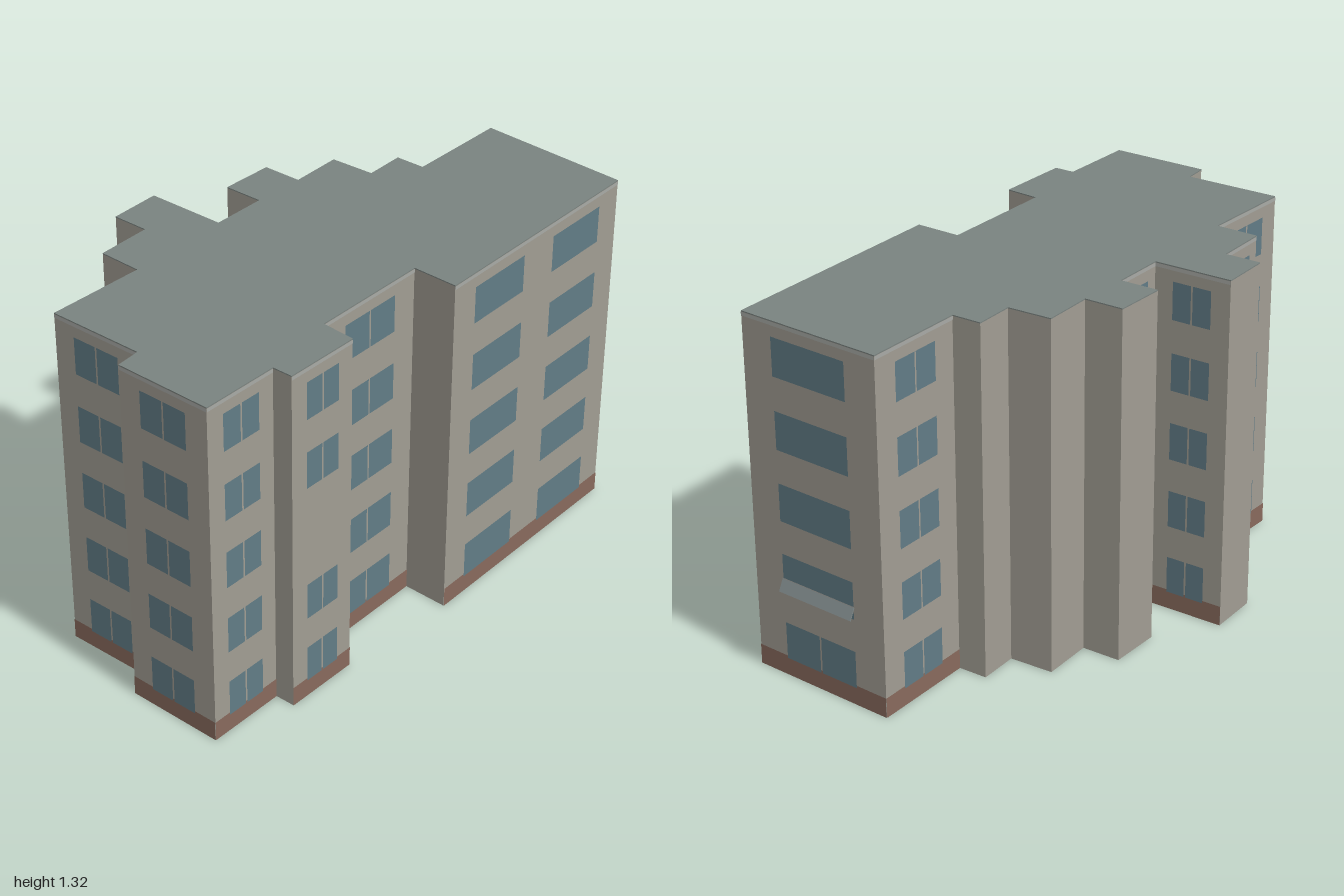
import * as THREE from 'three';

const H = 1.315, PLINTH = 0.075, ROOF = 0.004;
const mat = (color, side = THREE.FrontSide) => new THREE.MeshStandardMaterial({ color, side });

// Footprint corners (x, z), starting at the back left of the plan
const plan = [
  [-0.905, -0.31], [-0.54, -0.29], [-0.535, -0.45], [-0.33, -0.45], [-0.33, -0.585],
  [-0.14, -0.585], [-0.14, -0.29], [0.065, -0.285], [0.065, -0.43], [0.26, -0.42],
  [0.26, -0.275], [0.455, -0.275], [0.46, -0.11], [0.61, -0.11], [0.61, 0],
  [1, 0.01], [0.965, 0.58], [0.04, 0.57], [0.045, 0.4], [-0.41, 0.39],
  [-0.42, 0.515], [-0.705, 0.505], [-0.705, 0.43], [-1, 0.42], [-0.995, 0.055], [-0.905, 0.05],
];

// Walls with windows: starting corner, window centres from the wall middle, width, panes
const facades = [
  { name: 'backLeftWall', at: 0, centres: [0], w: 0.2, panes: 2 },
  { name: 'backBayWall', at: 2, centres: [0], w: 0.11, panes: 2, skip: 2 },
  { name: 'backBayReturn', at: 5, centres: [0], w: 0.15, panes: 2 },
  { name: 'backRecessWall', at: 6, centres: [0], w: 0.11, panes: 2 },
  { name: 'backRightWall', at: 14, centres: [0], w: 0.2, panes: 2 },
  { name: 'entranceWall', at: 15, centres: [0], w: 0.315, panes: 1, entrance: true },
  { name: 'frontMainWall', at: 16, centres: [-0.218, 0.217], w: 0.27, panes: 1 },
  { name: 'frontRecessWall', at: 18, centres: [0], w: 0.25, panes: 2 },
  { name: 'frontBayWall', at: 20, centres: [0], w: 0.15, panes: 2, skip: 2 },
  { name: 'frontEndWall', at: 22, centres: [0], w: 0.16, panes: 2 },
  { name: 'sideFrontWall', at: 23, centres: [0], w: 0.19, panes: 2 },
  { name: 'sideBackWall', at: 25, centres: [0], w: 0.19, panes: 2 },
];

export function createModel() {
  const model = new THREE.Group();
  model.name = 'apartmentBlock';
  const wallMat = mat(0xa19d93), roofMat = mat(0x7a8380), glassMat = mat(0x627c86);
  const brickMat = mat(0x886a5d), trimMat = mat(0xa8aaa6);
  const canopyMat = mat(0x7f898a, THREE.DoubleSide);

  // Body and roof share one footprint
  const shape = new THREE.Shape(plan.map(([x, z]) => new THREE.Vector2(x, -z)));
  const slab = (name, y, depth, material) => {
    const geo = new THREE.ExtrudeGeometry(shape, { depth, bevelEnabled: false });
    const mesh = new THREE.Mesh(geo.rotateX(-Math.PI / 2), material);
    mesh.position.y = y;
    mesh.name = name;
    model.add(mesh);
  };
  slab('walls', 0, H - ROOF, wallMat);
  slab('roof', H - ROOF, ROOF, roofMat);

  // Flat panel lying just in front of a wall
  const panel = (group, name, x, y0, y1, w, out, material) => {
    const mesh = new THREE.Mesh(new THREE.PlaneGeometry(w, y1 - y0), material);
    mesh.position.set(x, (y0 + y1) / 2, out);
    mesh.name = name;
    group.add(mesh);
  };

  for (const f of facades) {
    const [x0, z0] = plan[f.at], [x1, z1] = plan[(f.at + 1) % plan.length];
    const length = Math.hypot(x1 - x0, z1 - z0);
    const wall = new THREE.Group();
    wall.name = f.name;
    wall.position.set((x0 + x1) / 2, 0, (z0 + z1) / 2);
    wall.rotation.y = Math.atan2(z1 - z0, x0 - x1);
    model.add(wall);

    panel(wall, 'plinth', 0, 0, PLINTH, length, 0.0015, brickMat);
    panel(wall, 'coping', 0, H - 0.017, H - ROOF, length, 0.0015, trimMat);

    // Five storeys of windows
    for (let floor = 0; floor < 5; floor++) {
      if (floor === f.skip) continue;
      const y = 0.067 + floor * 0.263;
      const panes = f.entrance && floor === 0 ? 2 : f.panes;
      const gap = 0.007, w = (f.w - gap * (panes - 1)) / panes;
      for (const c of f.centres)
        for (let p = 0; p < panes; p++)
          panel(wall, floor === 0 && f.entrance ? 'door' : 'window',
            c + (p - (panes - 1) / 2) * (w + gap), y, y + 0.14, w, 0.003, glassMat);
    }

    // Sloping canopy over the entrance
    if (f.entrance) {
      const canopy = new THREE.Mesh(new THREE.BoxGeometry(0.32, 0.046, 0.004), canopyMat);
      canopy.position.set(0, 0.355, 0.013);
      canopy.rotation.x = -0.45;
      canopy.name = 'canopy';
      wall.add(canopy);
      panel(wall, 'canopyTrim', 0, 0.373, 0.38, 0.32, 0.005, trimMat);
    }
  }
  return model;
}
